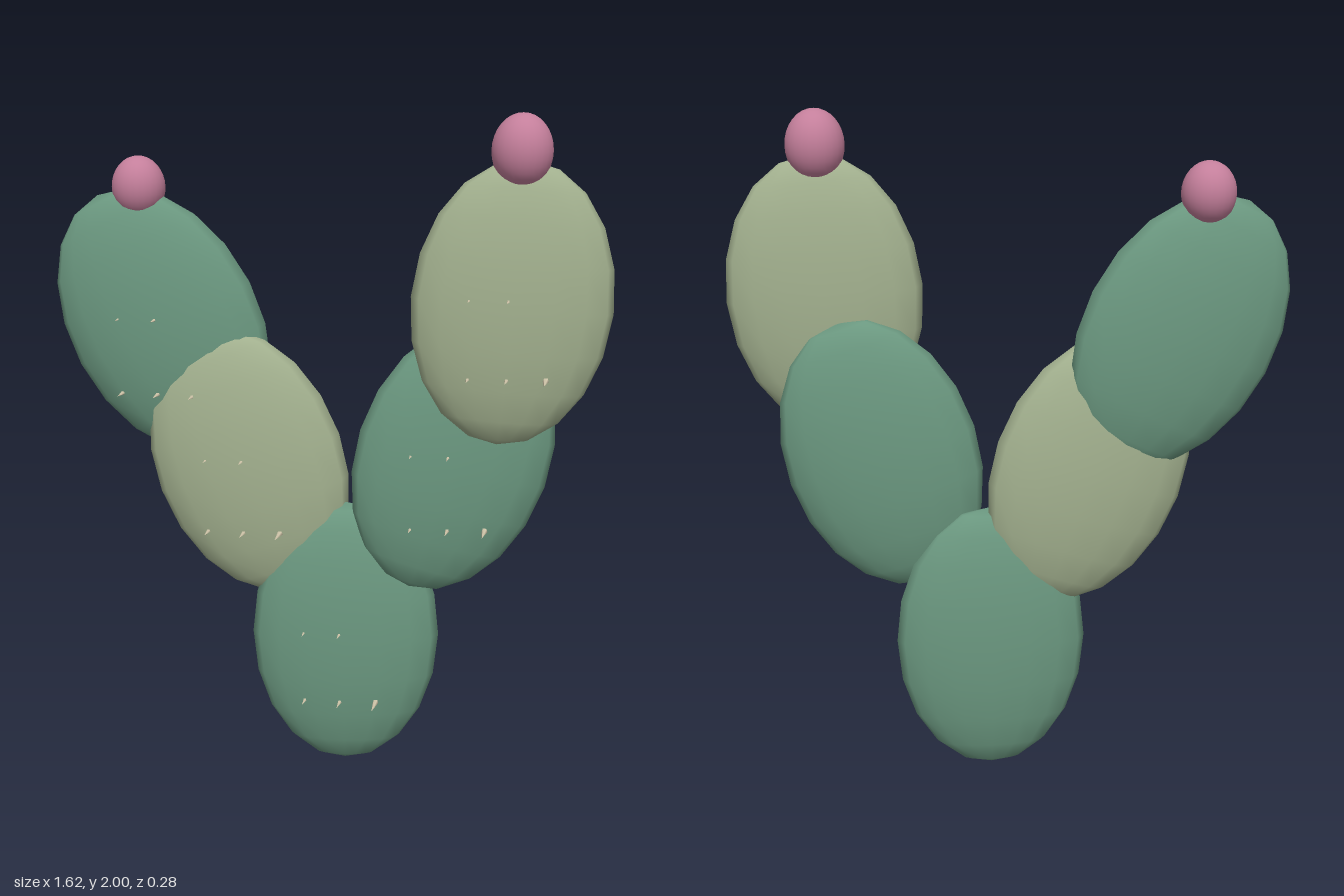
import * as THREE from 'three';

const mat = (color) => new THREE.MeshStandardMaterial({ color });

export function createModel() {
  const model = new THREE.Group();
  model.name = 'pricklyPear';
  const dark = mat(0x6b9880), light = mat(0xa3b18f), pink = mat(0xc47f9b), cream = mat(0xd8cdb0);

  const padGeo = new THREE.SphereGeometry(1, 16, 10);
  const fruitGeo = new THREE.SphereGeometry(1, 24, 16);
  const spineGeo = new THREE.ConeGeometry(0.009, 0.07, 5).rotateX(Math.PI / 2);

  // Flattened pads: name, centre, lean, material
  const pads = [
    ['basePad', 0.04, 0.425, -0.04, 0, dark],
    ['rightMiddlePad', -0.25, 0.96, -0.01, 0.33, light],
    ['leftMiddlePad', 0.36, 1.0, -0.04, -0.3, dark],
    ['rightTopPad', -0.505, 1.375, -0.005, 0.46, dark],
    ['leftTopPad', 0.525, 1.47, 0.015, -0.08, light],
  ];
  for (const [name, x, y, z, lean, material] of pads) {
    const group = new THREE.Group();
    group.name = name;
    group.position.set(x, y, z);

    const pad = new THREE.Mesh(padGeo, material);
    pad.name = name + 'Body';
    pad.scale.set(0.285, name === 'leftTopPad' ? 0.405 : 0.42, 0.09);
    pad.rotation.set(0, 0.16, lean);
    group.add(pad);

    // Five spines on the front: three in the lower row, two in the upper
    for (let i = 0; i < 5; i++) {
      const spine = new THREE.Mesh(spineGeo, cream);
      spine.name = 'spine';
      spine.position.set(-0.11 + (i % 3) * 0.108, i < 3 ? -0.2 : 0.025, 0.09);
      group.add(spine);
    }
    model.add(group);
  }

  // Fruits on the two top pads: x, y, z, radius, half height
  const fruits = [
    ['rightFruit', -0.572, 1.775, -0.005, 0.078, 0.09],
    ['leftFruit', 0.54, 1.897, 0.015, 0.085, 0.103],
  ];
  for (const [name, x, y, z, r, h] of fruits) {
    const fruit = new THREE.Mesh(fruitGeo, pink);
    fruit.name = name;
    fruit.position.set(x, y, z);
    fruit.scale.set(r, h, r);
    model.add(fruit);
  }
  return model;
}
